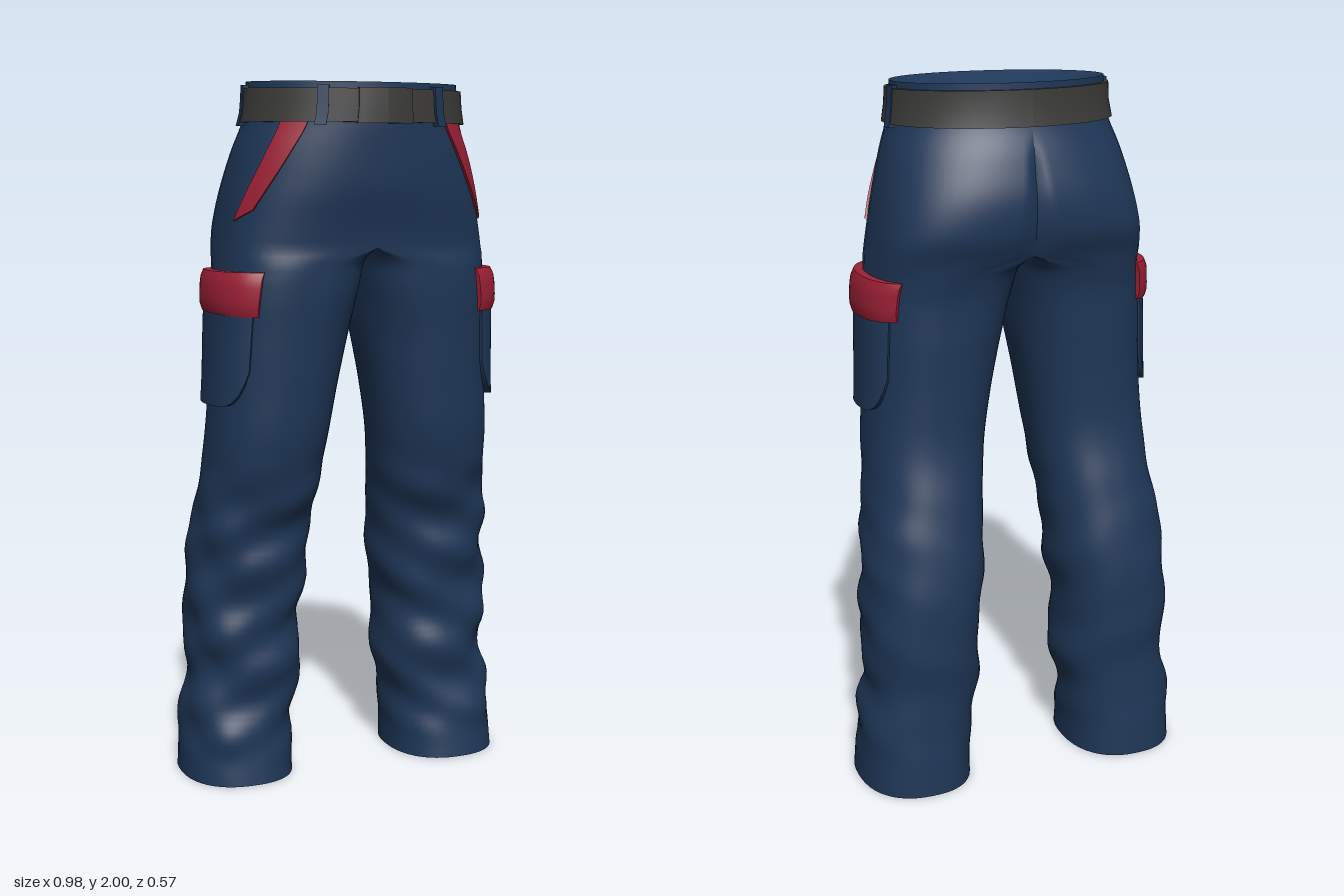
import * as THREE from 'three';
import { toCreasedNormals } from 'three/addons/utils/BufferGeometryUtils.js';

const mat = (name, color) => new THREE.MeshStandardMaterial({ name, color });
const RAD = Math.PI / 180;
const { smoothstep, lerp } = THREE.MathUtils;

// Half-body cross-sections: y, inner x, outer x, front z, back z, centre x
const ROWS = [
  [0, .165, .49, .095, -.285, .325],
  [.1, .165, .485, .08, -.28, .325],
  [.2, .155, .48, .072, -.275, .32],
  [.3, .135, .457, .068, -.272, .30],
  [.42, .14, .465, .075, -.285, .30],
  [.6, .122, .458, .085, -.28, .285],
  [.74, .108, .448, .105, -.258, .275],
  [.85, .10, .43, .135, -.23, .265],
  [1, .08, .42, .17, -.195, .25],
  [1.15, .055, .41, .185, -.19, .23],
  [1.3, .025, .405, .198, -.195, .215],
  [1.42, .012, .40, .21, -.2, .2],
  [1.5, .004, .392, .215, -.22, .16],
  [1.54, 0, .386, .218, -.24, 0],
  [1.6, 0, .378, .228, -.265, 0],
  [1.7, 0, .362, .25, -.27, 0],
  [1.8, 0, .34, .26, -.245, 0],
  [1.9, 0, .313, .265, -.21, 0],
  [2, 0, .305, .262, -.205, 0],
];

// Smooth interpolation of the cross-section table
function section(y) {
  const n = ROWS.length;
  let i = 0;
  while (i < n - 2 && y > ROWS[i + 1][0]) i++;
  const a = ROWS[i], b = ROWS[i + 1], p = ROWS[Math.max(i - 1, 0)], q = ROWS[Math.min(i + 2, n - 1)];
  const h = b[0] - a[0], s = (y - a[0]) / h, s2 = s * s, s3 = s2 * s;
  const row = a.map((v, k) => {
    const m0 = (b[k] - p[k]) / (b[0] - p[0]) * h, m1 = (q[k] - v) / (q[0] - a[0]) * h;
    return (2 * s3 - 3 * s2 + 1) * v + (s3 - 2 * s2 + s) * m0 + (3 * s2 - 2 * s3) * b[k] + (s3 - s2) * m1;
  });
  // Above the crotch both halves meet on the centre plane
  if (y >= 1.54) row[1] = row[5] = 0;
  return row;
}

// Cloth folds on the lower leg, strongest at the front
function folds(y, t) {
  const fade = smoothstep(y, .03, .15) * (1 - smoothstep(y, .75, 1.0));
  return fade * (.5 + .4 * Math.sin(t)) *
    (.008 * Math.sin(23 * y + 3 * Math.sin(t) + 2 * t) + .007 * Math.sin(39 * y - 3 * t));
}

// Point on the cloth: t = 0 is the outer side, 90 degrees the front
function point(y, t, offset = 0) {
  const [, xi, xo, zf, zb, cx] = section(y);
  const zc = (zf + zb) / 2, b = (zf - zb) / 2;
  let c = Math.cos(t);
  const s = Math.sin(t);
  if (Math.abs(c) < 1e-6) c = 0;
  const a = c >= 0 ? xo - cx : cx - Math.max(xi, 0);
  // Squarer around the crotch, a true ellipse at the waist
  const square = c < 0 ? .35 * smoothstep(y, 1.25, 1.5)
    : .22 * smoothstep(y, 1.48, 1.54) * (1 - smoothstep(y, 1.54, 1.8));
  const p = lerp(.85, 1, smoothstep(y, 1.75, 1.93)) - square;
  const normal = new THREE.Vector2(c / Math.max(a, .01), s / b).normalize();
  const o = offset + folds(y, t);
  let x = cx + a * Math.sign(c) * Math.abs(c) ** p + normal.x * o;
  let z = zc + b * Math.sign(s) * Math.abs(s) ** p + normal.y * o;
  if (y > 1.5 && x < .002) {
    x = 0;
    // Seam dent between the seat halves
    if (s < -.99) z += .018 * smoothstep(y, 1.5, 1.6) * (1 - smoothstep(y, 1.74, 1.88));
  }
  return new THREE.Vector3(x, y - .03 * (z + .2) * smoothstep(y, 1.8, 2), z);
}

// Grid surface; side = -1 mirrors it; faces on the centre plane are left out
function surface(nu, nv, fn, { side = 1, wrap = false } = {}) {
  const pos = [], index = [];
  for (let j = 0; j <= nv; j++) for (let i = 0; i < nu; i++) {
    const v = fn(i, j);
    pos.push(v.x * side, v.y, v.z);
  }
  const tri = (...f) => {
    if (f.every(k => Math.abs(pos[k * 3]) < 1e-5)) return;
    index.push(...(side < 0 ? f.reverse() : f));
  };
  for (let j = 0; j < nv; j++) for (let i = 0; i < (wrap ? nu : nu - 1); i++) {
    const a = j * nu + i, b = j * nu + (i + 1) % nu;
    tri(a, a + nu, b);
    tri(b, a + nu, b + nu);
  }
  const g = new THREE.BufferGeometry();
  g.setAttribute('position', new THREE.Float32BufferAttribute(pos, 3));
  g.setIndex(index);
  g.computeVertexNormals();
  return g;
}

// Raised cloth piece with side walls; map(u, v) gives [y, t in degrees, thickness]
function raised(nu, nv, map, side) {
  const clamp = (k, n) => Math.min(Math.max(k - 1, 0), n) / n;
  const g = surface(nu + 3, nv + 2, (i, j) => {
    const edge = i === 0 || j === 0 || i === nu + 2 || j === nv + 2;
    const [y, t, thickness] = map(clamp(i, nu), clamp(j, nv));
    return point(y, t * RAD, edge ? -.012 : thickness);
  }, { side });
  return toCreasedNormals(g, 0.7);
}

export function createModel() {
  const model = new THREE.Group();
  model.name = 'trousers';
  const navy = mat('navy cloth', 0x1f3758);
  navy.side = THREE.DoubleSide; // the hems are open
  const red = mat('red trim', 0x9e2036);
  const grey = mat('dark grey belt', 0x3c3b3a);
  const add = (name, geometry, material) => {
    const mesh = new THREE.Mesh(geometry, material);
    mesh.name = name;
    model.add(mesh);
  };
  const SEG = 64, LEVELS = 100;
  // Angles gather towards the front and back seams
  const angle = i => {
    const a = i / SEG * Math.PI * 2;
    return a + .3 * Math.sin(2 * a);
  };

  for (const side of [1, -1]) {
    const n = side > 0 ? 'left' : 'right';

    // Leg and half of the seat, smoothed across the front seam
    const shell = surface(SEG, LEVELS, (i, j) => point(j / LEVELS * 2, angle(i)), { side, wrap: true });
    const P = shell.attributes.position, N = shell.attributes.normal, v = new THREE.Vector3();
    for (let k = 0; k < P.count; k++) {
      if (Math.abs(P.getX(k)) > 1e-5 || P.getY(k) < 1.5 || P.getZ(k) < 0) continue;
      v.fromBufferAttribute(N, k).setX(0).normalize();
      N.setXYZ(k, v.x, v.y, v.z);
    }
    add(n + 'Leg', shell, navy);

    // Belt, buckle and belt loops
    const band = (y0, y1, t0, t1, thick) => (u, w) => [lerp(y0, y1, w), lerp(t0, t1, u), thick];
    add(n + 'Belt', raised(32, 2, band(1.885, 1.982, -90, 90, .012), side), grey);
    add(n + 'Buckle', raised(6, 2, (u, w) =>
      [lerp(1.882, 1.985, w), lerp(76, 90, u), lerp(.016, .024, Math.sqrt(u))], side), grey);
    for (const [t, w, thick] of [[58, 3, .019], [-4, 3.5, .015]])
      add(n + 'BeltLoop', raised(2, 3, band(1.875, 1.99, t - w, t + w, thick), side), navy);

    // Slanted hip pocket trim
    add(n + 'HipPocketTrim', raised(6, 16, (u, w) =>
      [lerp(1.645, 1.89, w) - .03 * (1 - u) * (1 - w), 43 - 20 * (1 - w) ** 1.5 + lerp(-8, 8, u), .007], side), red);

    // Cargo pocket with rounded lower corners, and its flap; both thin towards their ends
    const bulge = u => 1 - (2 * u - 1) ** 4;
    add(n + 'CargoPocket', raised(24, 10, (u, w) =>
      [lerp(1.105 + .1 * Math.abs(2 * u - 1) ** 5, 1.42, w), lerp(-34, 50, u), .007 + .014 * bulge(u)], side), navy);
    add(n + 'CargoFlap', raised(20, 6, (u, w) =>
      [lerp(1.37, 1.478, w) - .015 * u * (1 - w), lerp(-42, 55, u),
        .012 + .02 * bulge(u) - .008 * (2 * w - 1) ** 4], side), red);
  }

  // Shallow lining that closes the waist
  const waist = Array.from({ length: SEG }, (_, i) => {
    const t = angle(i), outer = Math.cos(t) >= 0;
    const p = point(2, outer ? t : Math.PI - t);
    if (!outer) p.x *= -1;
    return p;
  });
  const centre = new THREE.Vector3(0, 1.99, .028);
  add('waistLining', surface(SEG, 6, (i, j) => {
    const s = 1 - j / 6;
    const v = waist[i].clone().sub(centre).multiplyScalar(s).add(centre);
    v.y -= .07 * (1 - s * s);
    return v;
  }, { wrap: true }), navy);
  return model;
}
